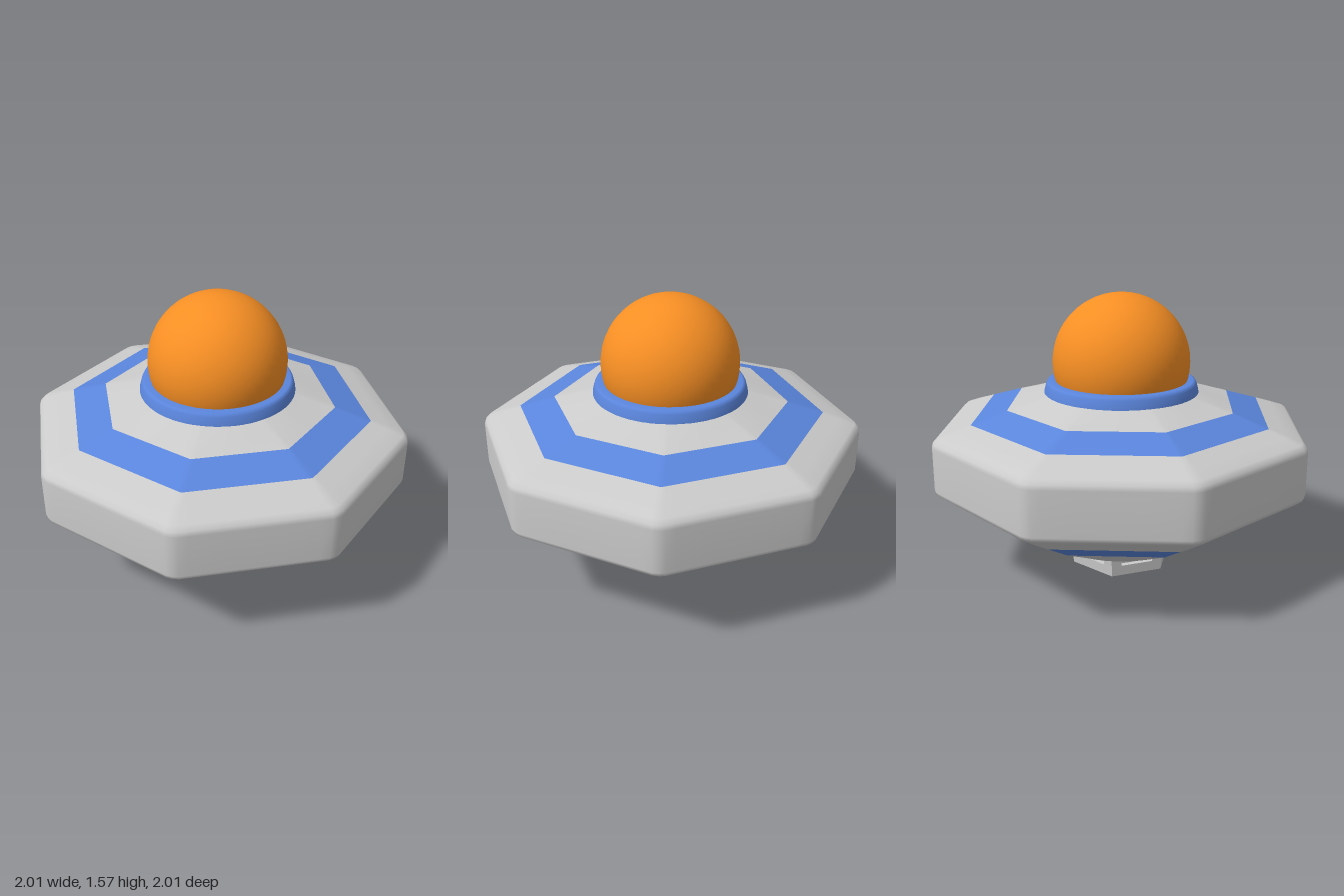
import * as THREE from 'three';
import { toCreasedNormals } from 'three/addons/utils/BufferGeometryUtils.js';

const mat = (color, flatShading = false) => new THREE.MeshStandardMaterial({ color, flatShading });
const grey = mat(0xcccccc), greyFlat = mat(0xcccccc, true);
const blue = mat(0x5b86dd), orange = mat(0xf78f24);

// Skin between closed loops of [x, y, z] points, listed anticlockwise from above, bottom loop first
function loft(rings) {
  const n = rings[0].length, index = [];
  for (let i = 0; i < rings.length - 1; i++) {
    for (let j = 0; j < n; j++) {
      const k = (j + 1) % n, a = i * n + j, b = i * n + k;
      index.push(a, b, b + n, a, b + n, a + n);
    }
  }
  const g = new THREE.BufferGeometry();
  g.setAttribute('position', new THREE.Float32BufferAttribute(rings.flat(2), 3));
  g.setIndex(index);
  g.computeVertexNormals();
  return g;
}

// Octagonal loop: a = distance to the flats, corner = longest reach of a corner (1 makes a circle)
const octantAngles = [-20.8, -18, -9, 0, 9, 18, 20.8, 22.5];
function octagon(a, y, corner = 1.1) {
  const ring = [];
  for (let k = 0; k < 8; k++) {
    for (const deg of octantAngles) {
      const t = THREE.MathUtils.degToRad(deg + k * 45);
      const r = a * Math.min(1 / Math.cos(THREE.MathUtils.degToRad(deg)), corner);
      ring.push([r * Math.sin(t), y, r * Math.cos(t)]);
    }
  }
  return ring;
}

export function createModel() {
  const model = new THREE.Group();
  const add = (parent, name, geometry, material) => {
    const m = new THREE.Mesh(geometry, material);
    m.name = name;
    parent.add(m);
    return m;
  };

  // Octagonal saucer hull
  const hull = new THREE.Group();
  hull.name = 'hull';
  hull.rotation.y = -0.015;
  model.add(hull);
  add(hull, 'lowerCone', loft([octagon(0.43, 0.16, 1), octagon(0.61, 0.277)]), grey);
  add(hull, 'lowerStripe', loft([octagon(0.61, 0.277), octagon(0.795, 0.397)]), blue);
  add(hull, 'rimWall', loft([
    octagon(0.795, 0.397), octagon(0.885, 0.455), octagon(0.97, 0.51, 1.075), octagon(0.992, 0.528, 1.073),
    octagon(1, 0.55, 1.0725), octagon(1, 0.79, 1.0725), octagon(0.993, 0.815, 1.073), octagon(0.97, 0.837, 1.075),
    octagon(0.885, 0.867), octagon(0.795, 0.898),
  ]), grey);
  add(hull, 'upperStripe', loft([octagon(0.795, 0.898), octagon(0.61, 0.96)]), blue);
  add(hull, 'upperCone', loft([octagon(0.61, 0.96), octagon(0.43, 1.02, 1), octagon(0.34, 1.05, 1)]), grey);

  // Recess in the underside that holds the pod
  add(hull, 'undersideRecess', toCreasedNormals(
    loft([octagon(0, 0.26, 1), octagon(0.42, 0.26, 1), octagon(0.43, 0.16, 1)]), 0.6), grey);

  // Dome and its collar
  add(model, 'dome', new THREE.SphereGeometry(0.385, 48, 32), orange).position.y = 1.185;
  const collar = [[0.435, 1.015], [0.432, 1.035], [0.423, 1.067], [0.416, 1.08], [0.405, 1.086], [0.35, 1.086]];
  add(model, 'domeCollar', new THREE.LatheGeometry(collar.map(([x, y]) => new THREE.Vector2(x, y)), 64), blue);

  // Six-sided pod with recessed windows between corner posts
  const pod = new THREE.Group();
  pod.name = 'pod';
  pod.rotation.y = -0.15;
  model.add(pod);
  const hexPrism = (r0, r1, y0, y1) =>
    new THREE.CylinderGeometry(r1, r0, y1 - y0, 6).rotateY(Math.PI / 6).translate(0, (y0 + y1) / 2, 0);
  add(pod, 'podFloor', hexPrism(0.297, 0.303, 0, 0.06), greyFlat);
  add(pod, 'windowPanels', hexPrism(0.268, 0.29, 0.05, 0.26), greyFlat);
  const s = Math.sin(Math.PI / 3), w = 0.19;
  const post = [[-w * s, 1 - w / 2], [0, 0.8], [w * s, 1 - w / 2], [0, 1]];
  const postRing = (r, y) => [post[0], post[3], post[2], post[1]].map(([x, z]) => [x * r, y, z * r]);
  for (let k = 0; k < 6; k++) {
    const geometry = loft([postRing(0.303, 0.06), postRing(0.325, 0.26)]);
    add(pod, 'cornerPost', geometry, greyFlat).rotation.y = Math.PI / 6 + k * Math.PI / 3;
  }
  return model;
}
